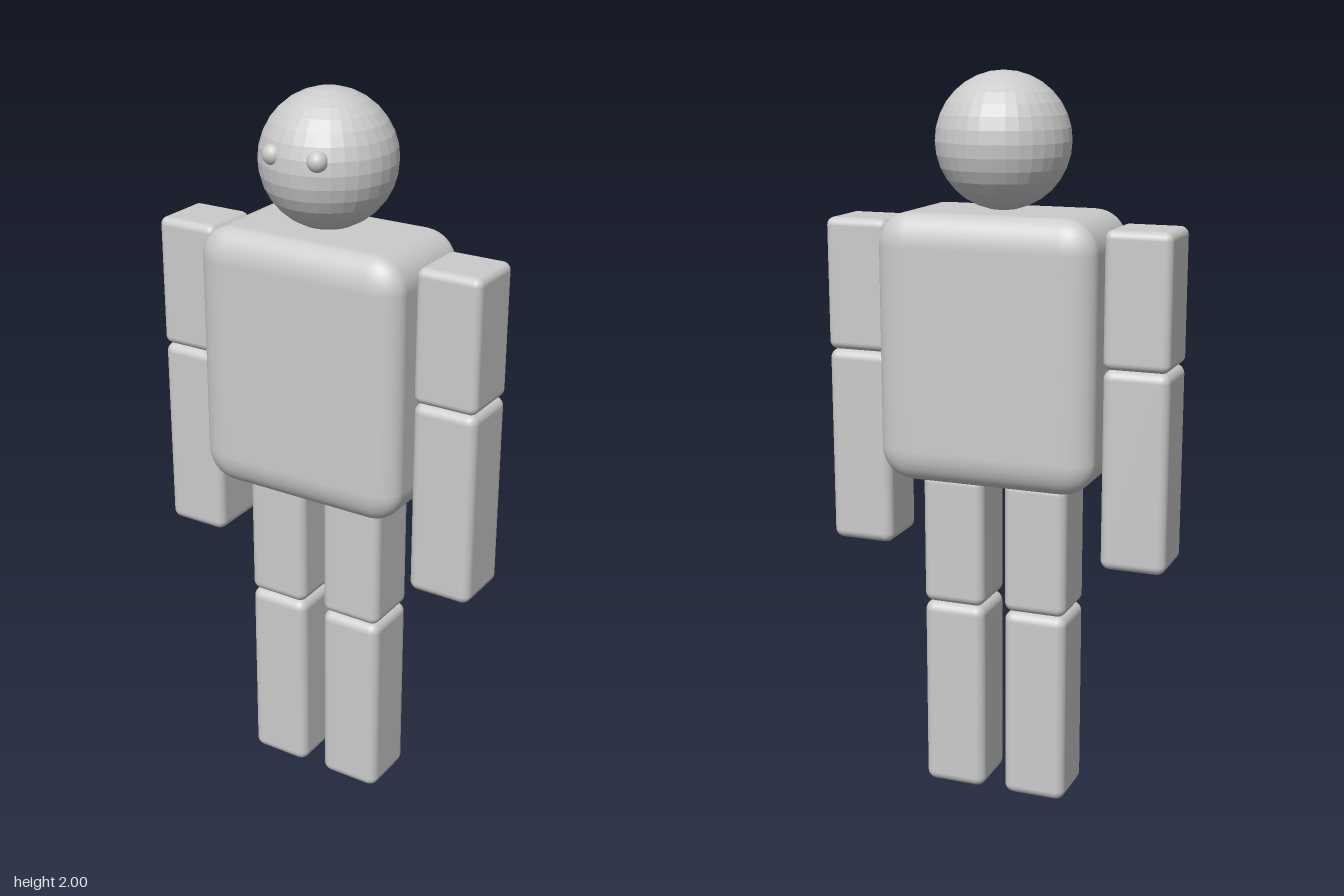
import * as THREE from 'three';
import { RoundedBoxGeometry } from 'three/addons/geometries/RoundedBoxGeometry.js';

const grey = new THREE.MeshStandardMaterial({ color: 0xcccccc });
const facetedGrey = new THREE.MeshStandardMaterial({ color: 0xcccccc, flatShading: true });

function addPart(parent, name, geometry, material, x, y, z) {
  const mesh = new THREE.Mesh(geometry, material);
  mesh.name = name;
  mesh.position.set(x, y, z);
  parent.add(mesh);
  return mesh;
}

// Rounded block between two heights
function addBlock(parent, name, x, bottom, top, width, depth, radius) {
  const geometry = new RoundedBoxGeometry(width, top - bottom, depth, 5, radius);
  return addPart(parent, name, geometry, grey, x, (bottom + top) / 2, 0);
}

export function createModel() {
  const model = new THREE.Group();
  model.name = 'blockFigure';

  // Torso: edges are rounder across the width than the depth
  const squash = 0.67;
  const torso = addBlock(model, 'torso', 0, 0.915, 1.64, 0.606, 0.364 / squash, 0.09);
  torso.geometry.scale(1, 1, squash);
  torso.geometry.computeBoundingSphere();

  // Head
  const head = new THREE.Group();
  head.name = 'head';
  head.position.y = 1.82;
  model.add(head);
  addPart(head, 'skull', new THREE.SphereGeometry(0.18, 32, 16), facetedGrey, 0, 0, 0);

  for (const [side, s] of [['left', 1], ['right', -1]]) {
    // Eye, arm and leg of each side
    addPart(head, side + 'Eye', new THREE.SphereGeometry(0.027, 24, 12), grey, s * 0.065, 0.035, 0.155);

    const arm = new THREE.Group();
    arm.name = side + 'Arm';
    addBlock(arm, side + 'UpperArm', s * 0.394, 1.248, 1.61, 0.18, 0.18, 0.022);
    addBlock(arm, side + 'Forearm', s * 0.394, 0.703, 1.248, 0.18, 0.18, 0.026);

    const leg = new THREE.Group();
    leg.name = side + 'Leg';
    addBlock(leg, side + 'Thigh', s * 0.119, 0.547, 0.92, 0.178, 0.178, 0.026);
    addBlock(leg, side + 'Shin', s * 0.119, 0, 0.547, 0.178, 0.178, 0.028);

    model.add(arm, leg);
  }
  return model;
}
